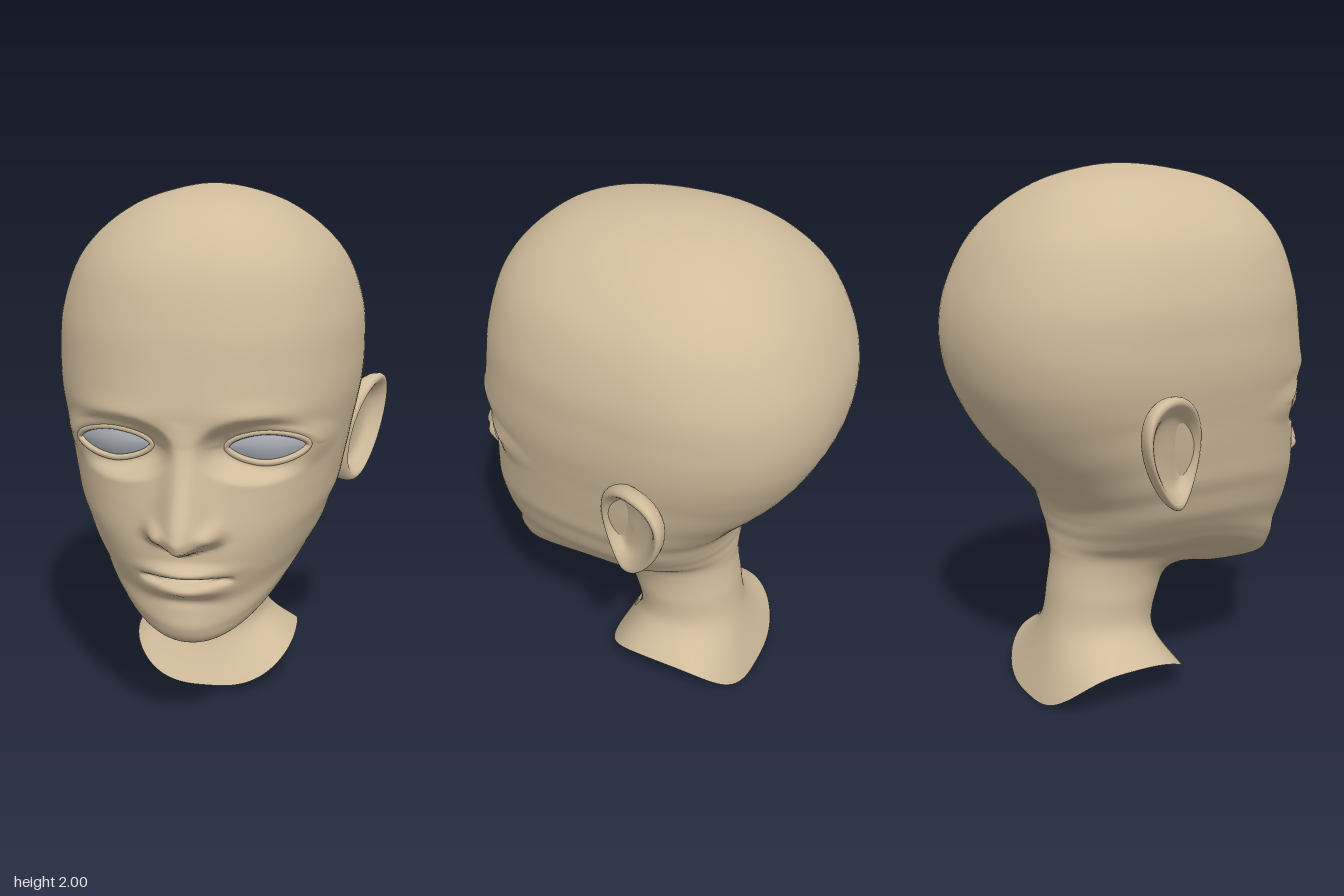
import * as THREE from 'three';
import { mergeVertices } from 'three/addons/utils/BufferGeometryUtils.js';

const skin = new THREE.MeshStandardMaterial({ color: 0xd0bc9c, side: THREE.DoubleSide });
skin.name = 'skin';
const eyeGrey = new THREE.MeshStandardMaterial({ color: 0xb6bac2 });
eyeGrey.name = 'eyeGrey';

const { lerp, smoothstep } = THREE.MathUtils;
const gauss = (d, s) => Math.exp(-((d / s) ** 2));
const spow = (v, e) => Math.sign(v) * Math.abs(v) ** e;

// Level skull rings: y, front z, half width, side z, back z.
// The first mirrors the third across the crown so the top stays round.
const skullRings = [
  [1.975, -0.30, -0.15, -0.1, 0.07],
  [2.0, -0.089, 0.001, -0.09, -0.091],
  [1.98, 0.12, 0.14, -0.1, -0.25],
  [1.93, 0.30, 0.28, -0.1, -0.40],
  [1.84, 0.43, 0.41, -0.12, -0.54],
  [1.72, 0.52, 0.51, -0.15, -0.65],
  [1.55, 0.575, 0.57, -0.17, -0.73],
  [1.4, 0.60, 0.58, -0.17, -0.755],
].map(([y, f, w, s, b]) => [y, f, w, y, s, y, b]);

// Tilted face, jaw and neck rings: front y, front z, half width, side y, side z, back y, back z
const faceRings = [
  [1.28, 0.615, 0.575, 1.29, -0.16, 1.25, -0.735],
  [1.18, 0.61, 0.56, 1.20, -0.15, 1.12, -0.68],
  [1.10, 0.60, 0.545, 1.13, -0.13, 1.02, -0.62],
  [1.01, 0.60, 0.53, 1.05, -0.12, 0.94, -0.555],
  [0.92, 0.61, 0.515, 0.98, -0.10, 0.87, -0.49],
  [0.83, 0.62, 0.50, 0.91, -0.08, 0.81, -0.44],
  [0.75, 0.62, 0.475, 0.85, -0.06, 0.76, -0.405],
  [0.67, 0.605, 0.45, 0.78, -0.04, 0.71, -0.39],
  [0.58, 0.575, 0.42, 0.73, -0.02, 0.67, -0.385],
  [0.48, 0.565, 0.385, 0.68, 0, 0.64, -0.38],
  [0.412, 0.51, 0.34, 0.625, 0, 0.61, -0.38],
  [0.41, 0.30, 0.265, 0.57, -0.05, 0.57, -0.38],
  [0.45, 0.10, 0.225, 0.50, -0.13, 0.52, -0.38],
  [0.36, 0.035, 0.215, 0.40, -0.17, 0.42, -0.395],
  [0.20, 0.01, 0.225, 0.27, -0.20, 0.25, -0.425],
  [0.03, 0.10, 0.335, 0.165, -0.25, 0.0, -0.51],
];

const catmull = (a, b, c, d, t) =>
  0.5 * (2 * b + (c - a) * t + (2 * a - 5 * b + 4 * c - d) * t * t + (3 * b - a - 3 * c + d) * t ** 3);

// Eye opening and the curved surface it lies on
const EYE = { x: 0.267, y: 1.14, a: 0.135, b: 0.057 };
const eyeZ = (x, y) => 0.495 - 1.9 * Math.max(Math.abs(x) - 0.2, 0) ** 2 + 0.25 * (y - EYE.y);

// Nose height above the face, from brow to upper lip
const noseRidge = [[1.24, 0], [1.15, 0.02], [1.0, 0.095], [0.9, 0.14], [0.86, 0.15], [0.825, 0.135], [0.8, 0.07], [0.78, 0]];
function noseHeight(y) {
  for (let i = 0; i < noseRidge.length - 1; i++) {
    const [y0, h0] = noseRidge[i], [y1, h1] = noseRidge[i + 1];
    if (y <= y0 && y >= y1) return lerp(h0, h1, (y0 - y) / (y0 - y1));
  }
  return 0;
}

// Pushes the plain face surface into nose, lips, chin, brow and eye sockets
function sculpt(x, y, z) {
  const ax = Math.abs(x);
  const bump = (cx, cy, sx, sy, h) => h * gauss(ax - cx, sx) * gauss(y - cy, sy);
  z += bump(0.25, 1.26, 0.16, 0.04, 0.012);
  z += bump(0.13, 1.12, 0.05, 0.06, -0.02);

  // Eye socket, lids and the hollow behind the eye
  const dx = (ax - EYE.x) / EYE.a, dy = y - EYE.y;
  const w = 1 - smoothstep(Math.hypot(dx, dy / 0.07), 1, 1.8);
  const d = (Math.abs(dx) ** 1.7 + Math.abs(dy / EYE.b) ** 1.7) ** (1 / 1.7);
  const lid = 0.01 - 0.05 * (1 - smoothstep(d, 0.85, 1.02)) + (dy > 0 ? 0.008 * gauss(d - 1.3, 0.15) : 0);
  z = lerp(z, eyeZ(x, y) + lid, w);

  // Nose and nostril wings
  const spread = lerp(0.085, 0.055, smoothstep(y, 0.86, 1.15));
  z += noseHeight(y - 0.3 * ax) * gauss(x, spread);
  z += bump(0.095, 0.865, 0.035, 0.035, 0.05);

  // Lips, mouth line and chin
  z += bump(0, 0.715, 0.12, 0.024, 0.042);
  z += bump(0, 0.645, 0.11, 0.028, 0.042);
  z -= 0.04 * Math.max(0, 1 - (x / 0.17) ** 4) * gauss(y - 0.682, 0.01);
  z += bump(0, 0.59, 0.1, 0.022, -0.012);
  z += bump(0, 0.47, 0.1, 0.05, 0.01);
  return z;
}

// Head and neck: one smooth skin over all rings, with finer columns on the face
function headGeometry() {
  const rings = [...skullRings, ...faceRings, faceRings.at(-1)];
  const cols = 160, steps = 10, rows = (rings.length - 3) * steps + 1;
  const pos = [], index = [];
  for (let j = 0; j < rows; j++) {
    const k = Math.min(Math.floor(j / steps), rings.length - 4);
    const t = j / steps - k;
    const [yf, zf, w, ys, zs, yb, zb] = rings[k].map((v, n) =>
      catmull(v, rings[k + 1][n], rings[k + 2][n], rings[k + 3][n], t));
    let e = lerp(0.97, 0.87, smoothstep(ys, 0.7, 1.1));
    e = lerp(0.7, e, smoothstep(ys, 0.165, 0.3));
    for (let i = 0; i < cols; i++) {
      const v = (2 * i) / cols - 1;
      const a = Math.PI / 2 + Math.PI * v * (0.5 + 0.5 * v * v);
      const c = Math.cos(a), s = Math.sin(a), front = s > 0;
      const x = w * spow(c, e);
      const y = lerp(ys, front ? yf : yb, s * s);
      let z = lerp(zs, front ? zf : zb, Math.abs(s) ** e);
      if (front && z > 0.2 && y > 0.4) z = sculpt(x, y, z);
      pos.push(x, y, z);
      if (j < rows - 1) {
        const p = j * cols + i, q = j * cols + ((i + 1) % cols);
        index.push(p, q, p + cols, q, q + cols, p + cols);
      }
    }
  }
  const geo = new THREE.BufferGeometry();
  geo.setAttribute('position', new THREE.Float32BufferAttribute(pos, 3));
  geo.setIndex(index);
  geo.computeVertexNormals();
  return geo;
}

// Moves every vertex by a rule, welds seams and smooths the normals
function reshape(geo, rule) {
  const p = geo.attributes.position;
  for (let i = 0; i < p.count; i++) p.setXYZ(i, ...rule(p.getX(i), p.getY(i), p.getZ(i)));
  geo.deleteAttribute('uv');
  geo.deleteAttribute('normal');
  const out = mergeVertices(geo, 1e-5);
  out.computeVertexNormals();
  return out;
}

// Ear: a turned bowl with a rolled rim, stretched, leaned back and flared outward
function earGeometry(side) {
  const profile = new THREE.SplineCurve([
    [0.4, -0.13], [0.65, -0.08], [0.93, -0.045], [1, -0.012], [0.98, 0.015], [0.89, 0.022],
    [0.76, 0.0], [0.6, -0.03], [0.3, -0.04], [0.001, -0.04],
  ].map(([r, h]) => new THREE.Vector2(r, h)));
  const geo = new THREE.LatheGeometry(profile.getPoints(36), 40);
  if (side < 0) {
    const ix = geo.index.array;
    for (let i = 0; i < ix.length; i += 3) [ix[i], ix[i + 1]] = [ix[i + 1], ix[i]];
  }
  return reshape(geo, (u, h, v) => [
    side * (0.585 - 0.055 * u + 0.045 * v + h - 0.02 * Math.max(u, 0)),
    1.05 + 0.21 * v,
    -0.215 - 0.045 * v + 0.148 * u * (0.95 + 0.25 * v),
  ]);
}

// Point on the almond outline of an eye, scaled by k
function eyePoint(side, c, s, k) {
  const x = side * EYE.x + EYE.a * k * spow(c, 1.18);
  const y = EYE.y + EYE.b * k * spow(s, 1.18);
  return [x, y, eyeZ(x, y)];
}

function eyeGeometry(side) {
  return reshape(new THREE.RingGeometry(0.001, 1, 48, 8), (px, py) => {
    const k = Math.hypot(px, py);
    const [x, y, z] = eyePoint(side, px / k, py / k, k * 1.03);
    return [x, y, z - 0.004 + 0.014 * (1 - k * k)];
  });
}

function lidGeometry(side) {
  const pts = [];
  for (let i = 0; i < 32; i++) {
    const a = (i / 32) * Math.PI * 2;
    const [x, y, z] = eyePoint(side, Math.cos(a), Math.sin(a), 1.03);
    pts.push(new THREE.Vector3(x, y, z + 0.007));
  }
  return new THREE.TubeGeometry(new THREE.CatmullRomCurve3(pts, true), 64, 0.011, 8, true);
}

export function createModel() {
  const group = new THREE.Group();
  group.name = 'head';
  const add = (name, geo, mat) => {
    const mesh = new THREE.Mesh(geo, mat);
    mesh.name = name;
    group.add(mesh);
  };
  add('headAndNeck', headGeometry(), skin);
  for (const [label, side] of [['left', 1], ['right', -1]]) {
    add(label + 'Ear', earGeometry(side), skin);
    add(label + 'Eye', eyeGeometry(side), eyeGrey);
    add(label + 'Eyelids', lidGeometry(side), skin);
  }
  return group;
}
